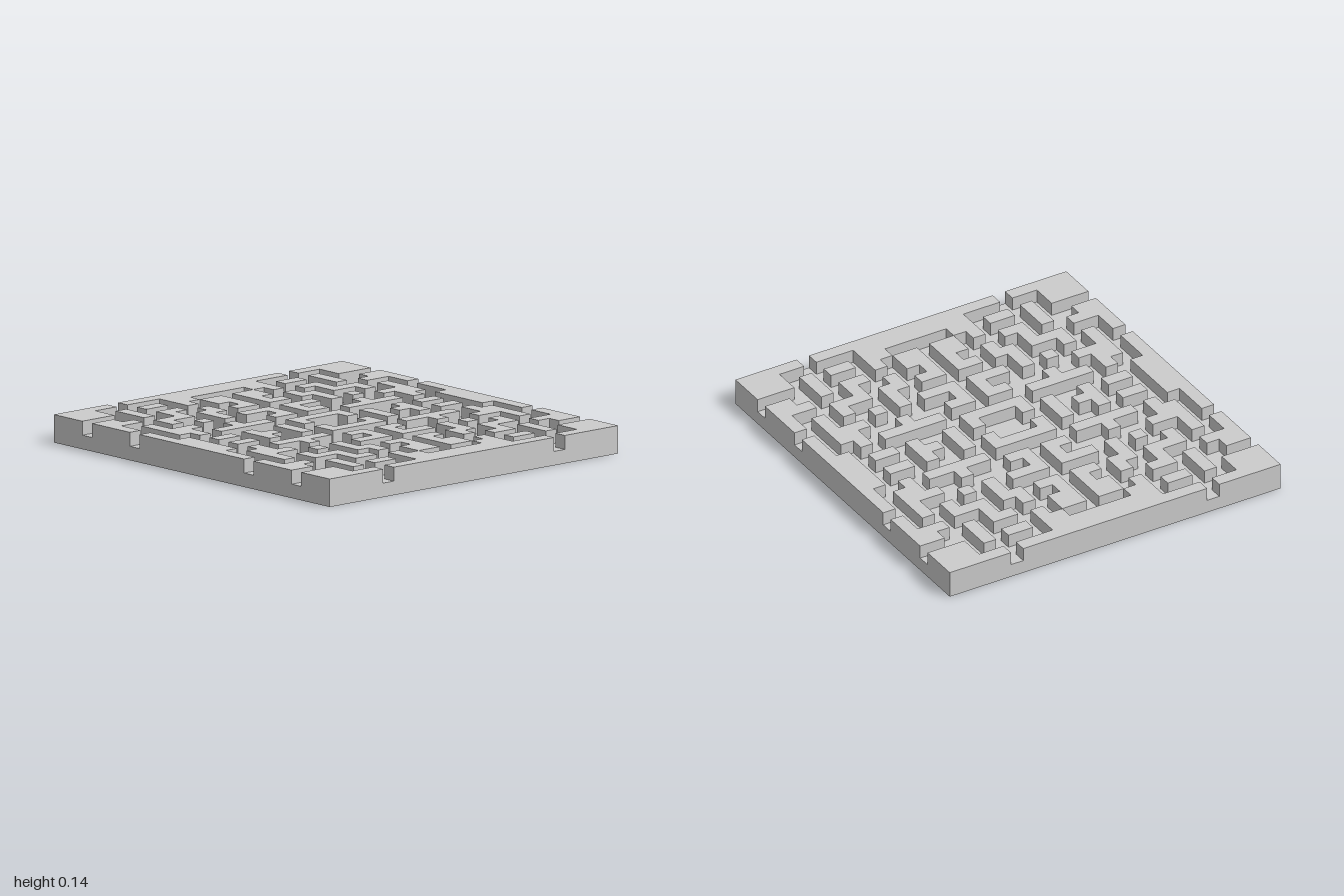
import * as THREE from 'three';

const COLS = 29, ROWS = 27, CELL = 2 / COLS;

// One quarter of the maze, including the middle row and column; # is a wall
const QUARTER = [
  '###.####.######',
  '###.##......###',
  '###..#.####....',
  '#........###.#.',
  '#.###.##.#...#.',
  '......#....#...',
  '#.#.###.#..#.##',
  '#.#.#.....##..#',
  '#.....###..#...',
  '####.##....#.##',
  '###.....#......',
  '##.##.#.#.#.##.',
  '##.####.###.#..',
  '##..........#..',
];

// Mirrored lookup over the whole board
function isWall(c, r) {
  if (c < 0 || r < 0 || c >= COLS || r >= ROWS) return false;
  return QUARTER[Math.min(r, ROWS - 1 - r)][Math.min(c, COLS - 1 - c)] === '#';
}

// Wall tops plus only those sides that face a corridor or the outside
function wallGeometry() {
  const pos = [];
  const quad = (a, b, c, d) => pos.push(...a, ...b, ...c, ...a, ...c, ...d);
  const lo = CELL, hi = CELL * 2;
  for (let r = 0; r < ROWS; r++) {
    for (let c = 0; c < COLS; c++) {
      if (!isWall(c, r)) continue;
      const x0 = (c - COLS / 2) * CELL, x1 = x0 + CELL;
      const z0 = (r - ROWS / 2) * CELL, z1 = z0 + CELL;
      quad([x0, hi, z1], [x1, hi, z1], [x1, hi, z0], [x0, hi, z0]);
      const side = (xa, za, xb, zb) =>
        quad([xa, lo, za], [xb, lo, zb], [xb, hi, zb], [xa, hi, za]);
      if (!isWall(c, r + 1)) side(x0, z1, x1, z1);
      if (!isWall(c, r - 1)) side(x1, z0, x0, z0);
      if (!isWall(c + 1, r)) side(x1, z1, x1, z0);
      if (!isWall(c - 1, r)) side(x0, z0, x0, z1);
    }
  }
  const geo = new THREE.BufferGeometry();
  geo.setAttribute('position', new THREE.Float32BufferAttribute(pos, 3));
  geo.computeVertexNormals();
  return geo;
}

export function createModel() {
  const group = new THREE.Group();
  group.name = 'mazeBoard';
  const material = new THREE.MeshStandardMaterial({ color: 0xcccccc, flatShading: true });

  // Solid slab whose top is the corridor floor
  const base = new THREE.Mesh(new THREE.BoxGeometry(COLS * CELL, CELL, ROWS * CELL), material);
  base.name = 'baseSlab';
  base.position.y = CELL / 2;

  const walls = new THREE.Mesh(wallGeometry(), material);
  walls.name = 'mazeWalls';

  group.add(base, walls);
  return group;
}
